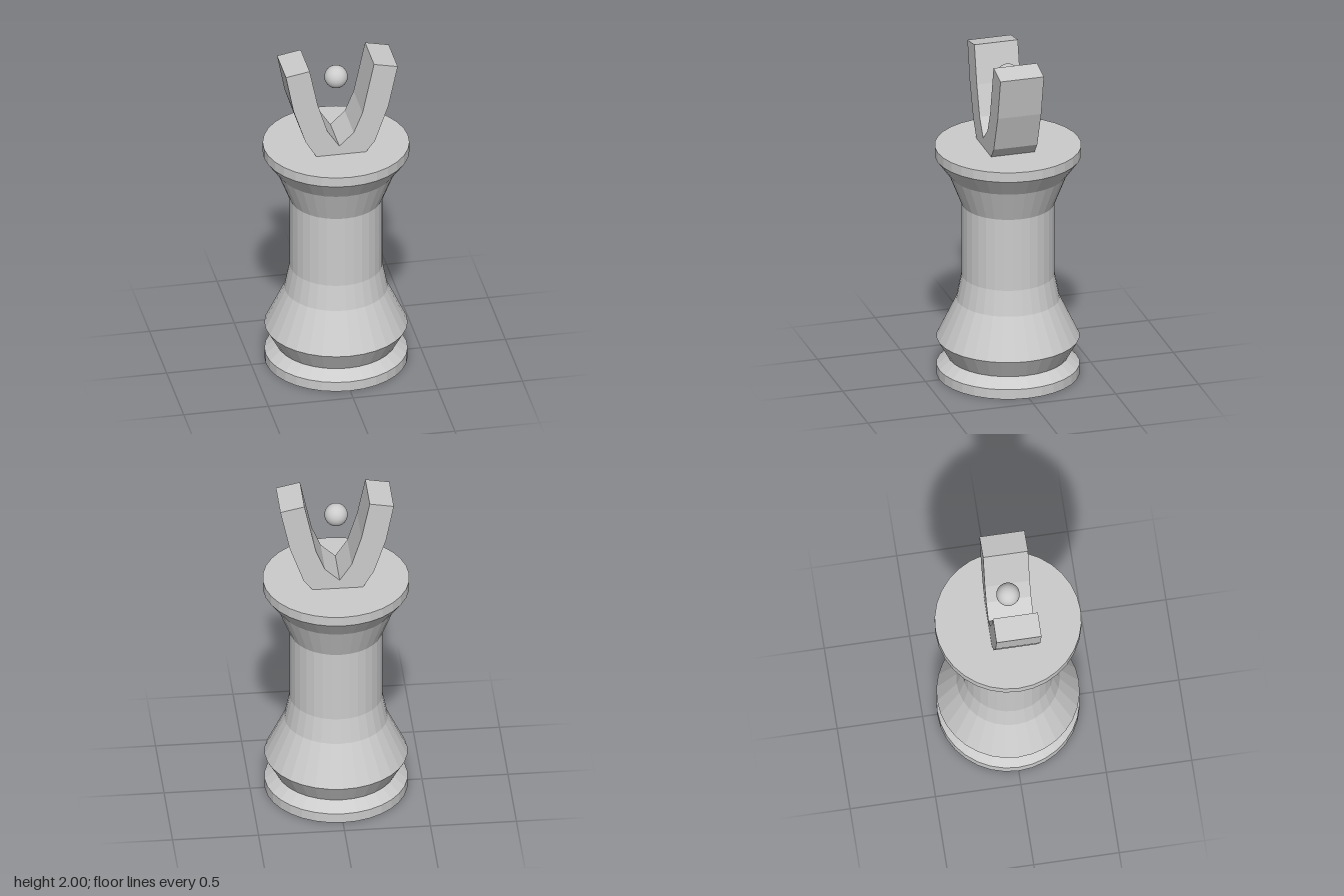
import * as THREE from 'three';

const grey = (flat) => new THREE.MeshStandardMaterial({ color: 0xcccccc, flatShading: flat });
const points = (list) => list.map(([x, y]) => new THREE.Vector2(x, y));

function part(name, geometry, flat = true) {
  const mesh = new THREE.Mesh(geometry, grey(flat));
  mesh.name = name;
  return mesh;
}

export function createModel() {
  const model = new THREE.Group();
  model.name = 'chessPiece';

  // Turned pedestal: foot, flared base, shaft, collar and top plate
  const profile = points([
    [0, 0], [0.415, 0], [0.415, 0.06], [0.35, 0.115], [0.415, 0.23],
    [0.3, 0.47], [0.27, 0.62], [0.27, 1.065], [0.345, 1.255],
    [0.425, 1.365], [0.425, 1.425], [0, 1.425],
  ]);
  model.add(part('pedestal', new THREE.LatheGeometry(profile, 32)));

  // Two-pronged crown, slightly uneven, rooted in the top plate
  const outline = points([
    [-0.14, 1.415], [0.14, 1.415], [0.2, 1.49], [0.28, 1.715], [0.335, 1.97],
    [0.195, 2], [0.127, 1.685], [0.075, 1.56], [-0.01, 1.48], [-0.08, 1.585],
    [-0.137, 1.765], [-0.185, 1.995], [-0.325, 1.97], [-0.28, 1.74], [-0.21, 1.53],
  ]);
  const prongs = new THREE.ExtrudeGeometry(new THREE.Shape(outline), { depth: 0.263, bevelEnabled: false });
  prongs.translate(0, 0, -0.116);
  model.add(part('forkedCrown', prongs));

  // Ball floating between the prongs
  const ball = part('ball', new THREE.SphereGeometry(0.068, 32, 16), false);
  ball.position.set(0, 1.86, 0);
  model.add(ball);

  return model;
}
